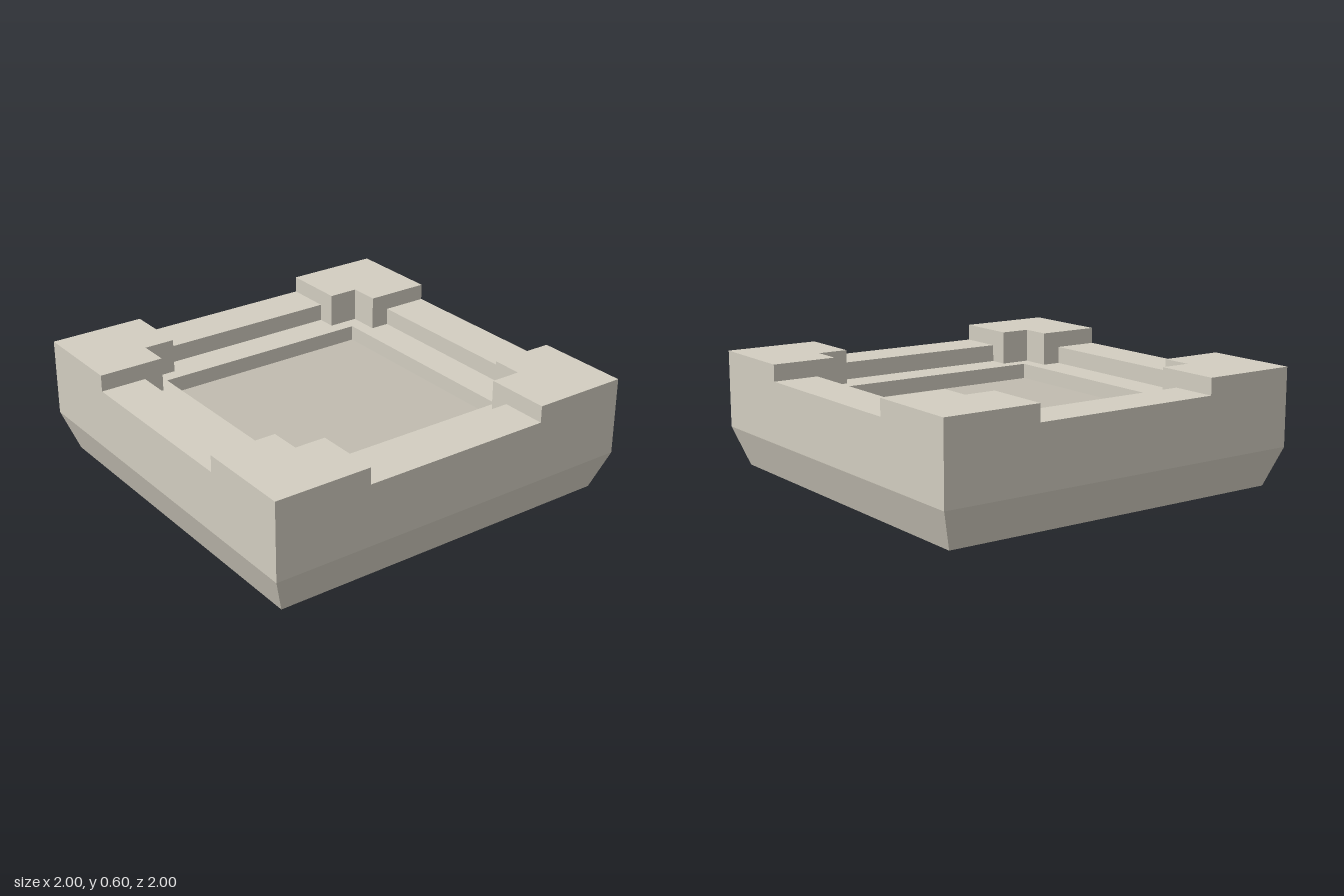
import * as THREE from 'three';

const LEDGE = 0.425, RAIL = 0.515, TOP = 0.6, FLOOR = 0.345, BASIN = 0.587;

export function createModel() {
  const model = new THREE.Group();
  const stone = new THREE.MeshStandardMaterial({ color: 0xd3cec1, flatShading: true });
  const dark = new THREE.MeshStandardMaterial({ color: 0xc1bcb0, flatShading: true });

  const add = (name, geometry, material = stone) => {
    const mesh = new THREE.Mesh(geometry, material);
    mesh.name = name;
    model.add(mesh);
    return mesh;
  };

  // Square tray: a four-sided lathe of [half width, height] points
  const profile = [[0, 0], [0.93, 0], [1, 0.2], [1, LEDGE], [BASIN, LEDGE], [BASIN, FLOOR]]
    .map(([w, y]) => new THREE.Vector2(w * Math.SQRT2, y));
  const tray = new THREE.LatheGeometry(profile, 4, Math.PI / 4).toNonIndexed();
  tray.computeVertexNormals();
  add('tray', tray);

  // Darker sunken floor
  const floor = new THREE.PlaneGeometry(2 * BASIN, 2 * BASIN).rotateX(-Math.PI / 2);
  add('basinFloor', floor, dark).position.y = FLOOR;

  // Notched corner post outline, drawn in plan
  const post = new THREE.Shape(
    [[0.5, 1], [0.5, 0.66], [0.66, 0.66], [0.66, 0.5], [1, 0.5], [1, 1]]
      .map(([x, y]) => new THREE.Vector2(x, y)));
  const postGeometry = new THREE.ExtrudeGeometry(post, { depth: TOP - LEDGE, bevelEnabled: false })
    .rotateX(-Math.PI / 2).translate(0, LEDGE, 0);

  // Low side rail between two posts
  const railGeometry = new THREE.BoxGeometry(1, RAIL - LEDGE, 0.24)
    .translate(0, (RAIL + LEDGE) / 2, 0.88);

  for (let i = 0; i < 4; i++) {
    add('cornerPost', postGeometry).rotation.y = i * Math.PI / 2;
    add('sideRail', railGeometry).rotation.y = i * Math.PI / 2;
  }
  return model;
}
